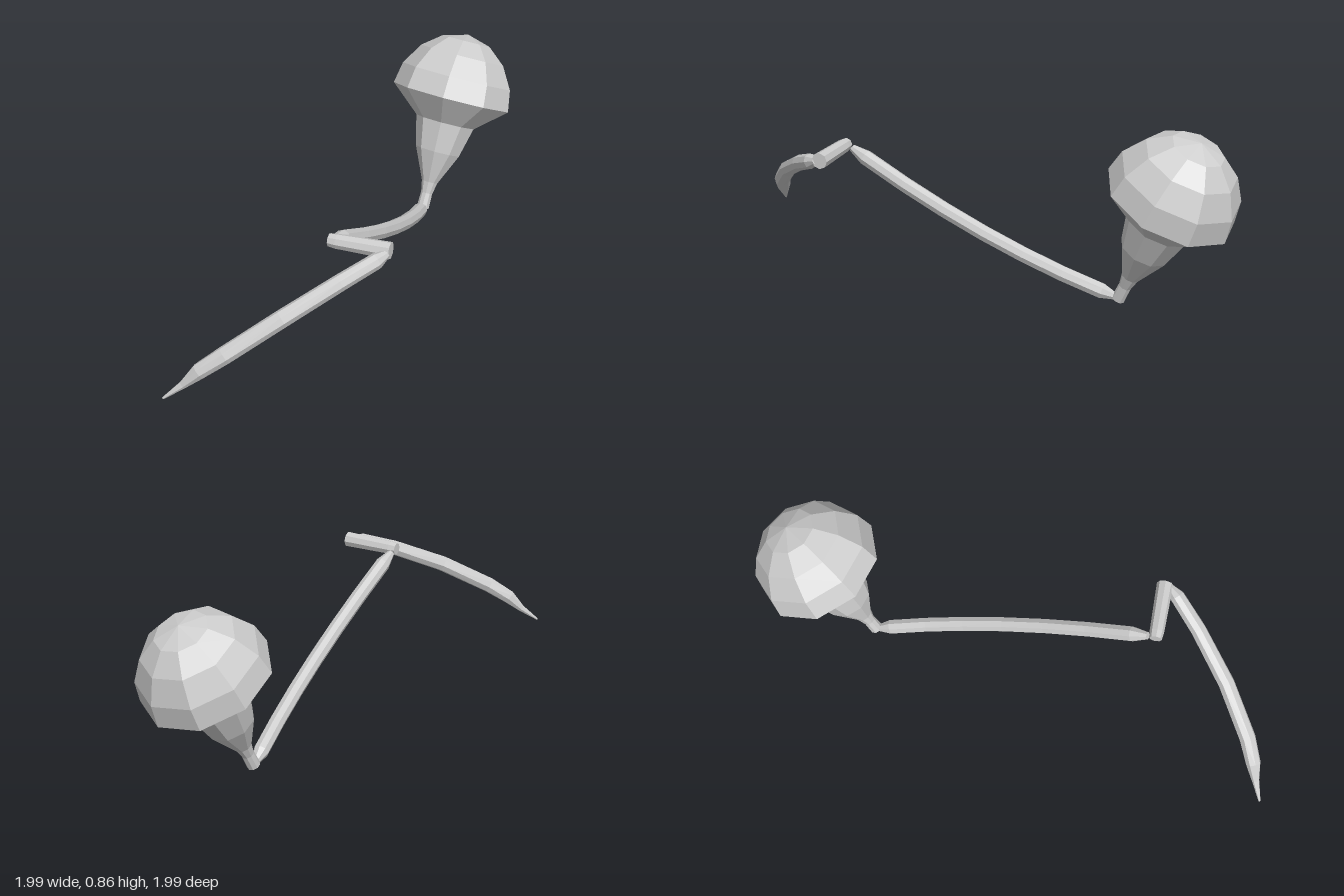
import * as THREE from 'three';

const material = new THREE.MeshStandardMaterial({ color: 0xcccccc, flatShading: true });

// Closed loft along stations [x, y, z, radius]
function limb(name, stations, sides = 8) {
  const first = stations[0], last = stations[stations.length - 1];
  const rows = [[...first.slice(0, 3), 0], ...stations, [...last.slice(0, 3), 0]];
  const centres = rows.map((r) => new THREE.Vector3(r[0], r[1], r[2]));
  const n = rows.length, pos = [], index = [];
  const up = new THREE.Vector3(0, 1, 0);
  rows.forEach((row, i) => {
    const t = centres[Math.min(i + 1, n - 1)].clone().sub(centres[Math.max(i - 1, 0)]);
    // cap rows coincide with the end stations and share their direction
    if (i === 0) t.subVectors(centres[2], centres[1]);
    if (i === n - 1) t.subVectors(centres[n - 2], centres[n - 3]);
    t.normalize();
    const s = up.clone().cross(t).normalize();
    const u = t.clone().cross(s);
    for (let j = 0; j < sides; j++) {
      const a = (j / sides) * Math.PI * 2;
      const p = centres[i].clone()
        .addScaledVector(s, Math.cos(a) * row[3])
        .addScaledVector(u, Math.sin(a) * row[3]);
      pos.push(p.x, p.y, p.z);
    }
  });
  for (let i = 0; i < n - 1; i++) {
    for (let j = 0; j < sides; j++) {
      const k = (j + 1) % sides;
      const a = i * sides + j, b = i * sides + k, c = a + sides, d = b + sides;
      if (i > 0) index.push(a, b, c);
      if (i < n - 2) index.push(b, d, c);
    }
  }
  const g = new THREE.BufferGeometry();
  g.setAttribute('position', new THREE.Float32BufferAttribute(pos, 3));
  g.setIndex(index);
  g.computeVertexNormals();
  const mesh = new THREE.Mesh(g, material);
  mesh.name = name;
  return mesh;
}

export function createModel() {
  const model = new THREE.Group();
  model.name = 'jointedLeg';

  // Bulbous upper segment: narrow stem flaring into a nine-sided dome
  const profile = [
    [0, 0], [0.032, 0], [0.03, 0.08], [0.042, 0.14], [0.117, 0.305],
    [0.155, 0.46], [0.308, 0.59], [0.288, 0.7], [0.22, 0.81], [0.125, 0.885], [0, 0.918],
  ].map(([r, y]) => new THREE.Vector2(r, y));
  const bulb = new THREE.Mesh(new THREE.LatheGeometry(profile, 9, 0.23), material);
  bulb.name = 'bulb';
  bulb.position.set(0.5, 0.02, -0.515);
  bulb.quaternion.setFromUnitVectors(
    new THREE.Vector3(0, 1, 0), new THREE.Vector3(0.315, 0.9, -0.3).normalize());
  model.add(bulb);

  // Long, gently bowed segment
  const bow = new THREE.QuadraticBezierCurve3(
    new THREE.Vector3(0.49, 0.03, -0.5),
    new THREE.Vector3(0.265, 0.225, 0.06),
    new THREE.Vector3(-0.19, 0.58, 0.63));
  const longStations = [0, 0.05, 0.2, 0.35, 0.5, 0.65, 0.8, 0.95, 1].map((t) => {
    const p = bow.getPoint(t);
    return [p.x, p.y, p.z, t === 0 || t === 1 ? 0.018 : 0.037];
  });
  model.add(limb('longSegment', longStations));

  // Short connecting segment
  model.add(limb('shortSegment', [
    [-0.22, 0.592, 0.655, 0.03], [-0.19, 0.592, 0.674, 0.034], [0.02, 0.593, 0.8, 0.039],
  ]));

  // Curved end segment narrowing to a claw
  model.add(limb('endSegment', [
    [0, 0.59, 0.815, 0.018], [-0.05, 0.572, 0.835, 0.036], [-0.22, 0.51, 0.88, 0.038],
    [-0.48, 0.395, 0.93, 0.04], [-0.73, 0.26, 0.952, 0.04], [-0.84, 0.19, 0.946, 0.036],
    [-0.91, 0.125, 0.938, 0.018], [-0.997, 0.063, 0.931, 0.005],
  ]));
  return model;
}
